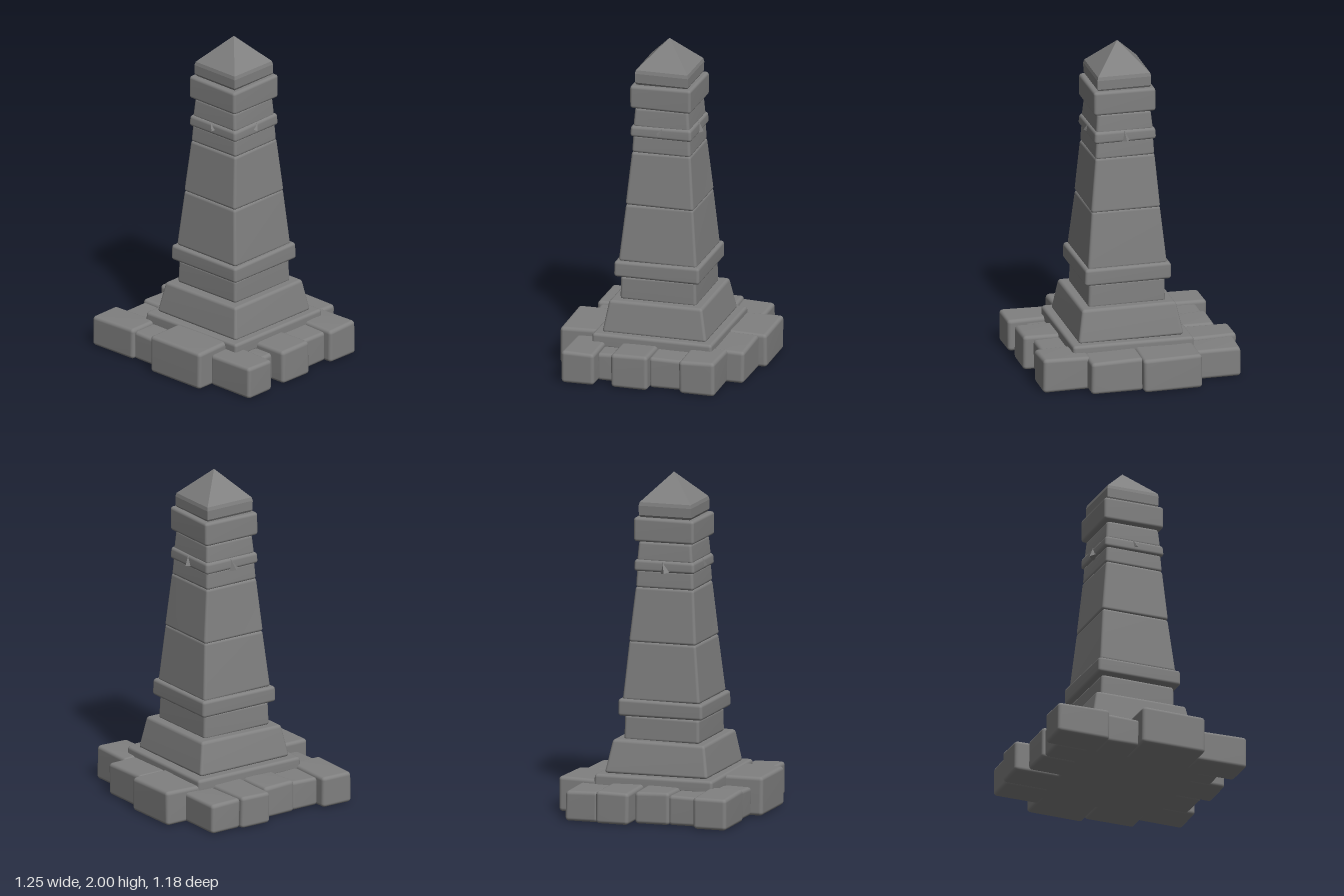
import * as THREE from 'three';
import { RoundedBoxGeometry } from 'three/addons/geometries/RoundedBoxGeometry.js';
import { mergeVertices } from 'three/addons/utils/BufferGeometryUtils.js';

const CX = 0.032; // the pillar stands slightly off the middle of the paving
const material = new THREE.MeshStandardMaterial({ color: 0x808080 });
const facetedMaterial = new THREE.MeshStandardMaterial({ color: 0x808080, flatShading: true });

// Worn stone between two corners; the top is scaled by taper and corners wander by wear.
function stone(name, [x0, x1], [y0, y1], [z0, z1], { taper = 1, radius = 0.018, wear = 0.002 } = {}) {
  const w = x1 - x0, h = y1 - y0, d = z1 - z0;
  const box = new RoundedBoxGeometry(w, h, d, 3, Math.min(radius, h * 0.35));
  box.deleteAttribute('normal');
  box.deleteAttribute('uv');
  const geometry = mergeVertices(box, 1e-5);
  const p = geometry.attributes.position;
  const cx = (x0 + x1) / 2, cy = (y0 + y1) / 2, cz = (z0 + z1) / 2;
  for (let i = 0; i < p.count; i++) {
    const s = 1 + (taper - 1) * (p.getY(i) / h + 0.5);
    const x = cx + p.getX(i) * s, y = cy + p.getY(i), z = cz + p.getZ(i) * s;
    p.setXYZ(i,
      x + wear * Math.sin(9 * y + 11 * z + 3 * cx),
      Math.max(0, y + (y > cy ? 2 * wear * Math.sin(13 * x + 8 * z + 5 * cz) : 0)),
      z + wear * Math.sin(10 * x + 7 * y + 2 * cz));
  }
  geometry.computeVertexNormals();
  const mesh = new THREE.Mesh(geometry, material);
  mesh.name = name;
  return mesh;
}

export function createModel() {
  const group = new THREE.Group();
  group.name = 'stonePillar';

  // Uneven paving blocks: x0, x1, z0, z1, height; inner ends run under the plinth
  const paving = new THREE.Group();
  paving.name = 'pavingBlocks';
  [
    [-0.33, 0.025, -0.592, -0.25, 0.205],
    [0.015, 0.33, -0.547, -0.25, 0.2],
    [-0.6, -0.31, -0.458, -0.255, 0.18],
    [-0.622, -0.25, -0.262, -0.058, 0.19],
    [-0.548, -0.25, -0.045, 0.168, 0.19],
    [-0.535, -0.25, 0.16, 0.345, 0.175],
    [-0.6, -0.272, 0.335, 0.54, 0.19],
    [-0.285, -0.075, 0.25, 0.52, 0.175],
    [-0.086, 0.313, 0.25, 0.588, 0.233],
    [0.3, 0.62, 0.284, 0.485, 0.195],
    [0.25, 0.52, 0.175, 0.3, 0.17],
    [0.25, 0.61, -0.04, 0.185, 0.205],
    [0.25, 0.55, -0.24, -0.03, 0.19],
    [0.31, 0.598, -0.445, -0.228, 0.205],
  ].forEach(([x0, x1, z0, z1, h], i) =>
    paving.add(stone(`pavingBlock${i + 1}`, [x0, x1], [0, h], [z0, z1], { radius: 0.022 })));
  paving.add(stone('foundation', [-0.35, 0.4], [0, 0.17], [-0.37, 0.36], { wear: 0 }));
  group.add(paving);

  // Pillar courses: name, bottom y, top y, half width at bottom, half width at top
  [
    ['plinthSlab', 0.16, 0.241, 0.368, 0.366],
    ['slopedBase', 0.238, 0.432, 0.32, 0.284],
    ['neckStone', 0.425, 0.572, 0.234, 0.23],
    ['lowerMolding', 0.572, 0.67, 0.262, 0.26],
    ['lowerShaft', 0.664, 1.013, 0.24, 0.207],
    ['upperShaft', 1.007, 1.335, 0.21, 0.18],
    ['lowerCollar', 1.328, 1.44, 0.18, 0.173],
    ['crackedBand', 1.428, 1.497, 0.188, 0.184],
    ['upperCollar', 1.485, 1.605, 0.173, 0.163],
    ['upperMolding', 1.604, 1.747, 0.187, 0.187],
  ].forEach(([name, y0, y1, a, b]) =>
    group.add(stone(name, [CX - a, CX + a], [y0, y1], [-a, a], { taper: b / a })));

  // Splintered chips standing out of the cracked band: turn, height, size, lean
  const chips = new THREE.Group();
  chips.name = 'bandChips';
  [[0, 1.475, 0.9, 0.5], [1, 1.475, 0.9, -0.5], [2, 1.468, 1.2, 0.15], [3, 1.462, 1.4, 0.3]]
    .forEach(([turn, y, size, lean], i) => {
      const angle = turn * Math.PI / 2;
      const chip = new THREE.Mesh(new THREE.ConeGeometry(0.022, 0.052, 4), facetedMaterial);
      chip.name = `bandChip${i + 1}`;
      chip.position.set(CX + 0.182 * Math.sin(angle), y, 0.182 * Math.cos(angle));
      chip.rotation.set(0, angle, lean);
      chip.scale.set(size, size, size);
      chips.add(chip);
    });
  group.add(chips);

  // Pointed four-sided cap
  const profile = [[0, 1.74], [0.15, 1.74], [0.162, 1.76], [0.163, 1.815], [0.158, 1.836], [0, 2]]
    .map(([half, y]) => new THREE.Vector2(half * Math.SQRT2, y));
  const cap = new THREE.Mesh(new THREE.LatheGeometry(profile, 4, Math.PI / 4), facetedMaterial);
  cap.name = 'pyramidCap';
  cap.position.x = CX;
  group.add(cap);

  return group;
}
